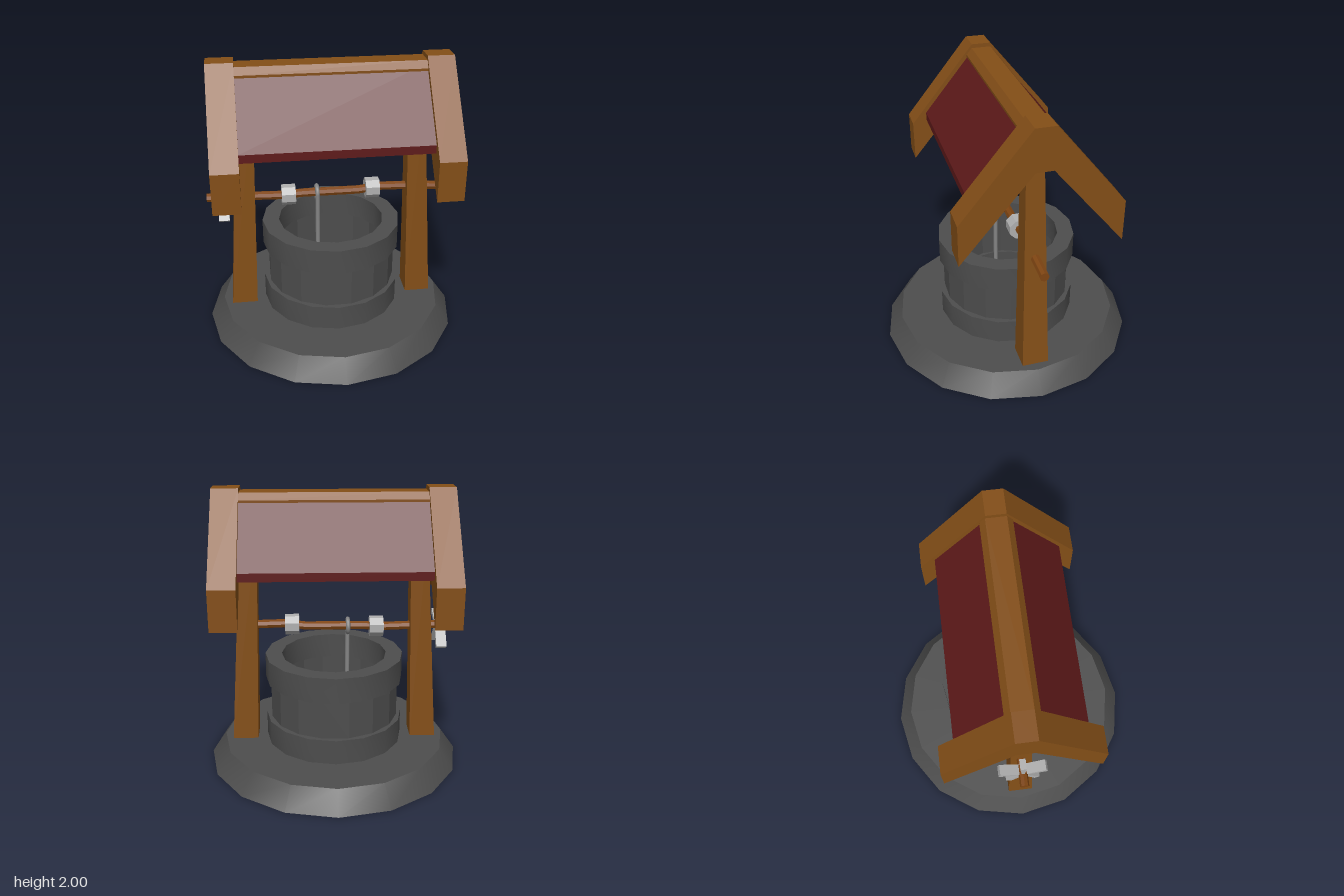
import * as THREE from 'three';
import { toCreasedNormals } from 'three/addons/utils/BufferGeometryUtils.js';

const material = (name, color) => {
  const m = new THREE.MeshStandardMaterial({ color });
  m.name = name;
  return m;
};

export function createModel() {
  const group = new THREE.Group();
  const stone = material('stone', 0x4d4d4d);
  const paleStone = material('pale underside', 0x989898);
  const wood = material('wood', 0x834e17);
  const axleWood = material('axle wood', 0x7f4512);
  const red = material('roof red', 0x5e1a1a);
  const metal = material('light metal', 0xb0b0b0);
  const iron = material('hook iron', 0x858585);

  const add = (name, geometry, mat, crease = 0.5) => {
    const mesh = new THREE.Mesh(toCreasedNormals(geometry, crease), mat);
    mesh.name = name;
    group.add(mesh);
  };

  // Closed stone ring
  const ring = (name, inner, outer, y0, y1, turn = 0, crease = 0.5) => {
    const profile = [[inner, y0], [outer, y0], [outer, y1], [inner, y1], [inner, y0]];
    const g = new THREE.LatheGeometry(profile.map(p => new THREE.Vector2(...p)), 16);
    g.rotateY(turn);
    add(name, g, stone, crease);
  };

  // Outline given as [z, y] pairs, extruded along x from x0 to x1
  const prism = (points, x0, x1) => {
    const shape = new THREE.Shape(points.map(p => new THREE.Vector2(...p)));
    const g = new THREE.ExtrudeGeometry(shape, { depth: x1 - x0, bevelEnabled: false });
    return g.rotateY(Math.PI / 2).translate(x0, 0, 0);
  };
  // Half outline mirrored in z
  const mirrored = half => [...half, ...half.map(([z, y]) => [-z, y]).reverse()];

  // Stone base with a pale underside (side, top, bottom), and well wall
  add('base', new THREE.CylinderGeometry(0.815, 0.92, 0.15, 16).translate(0, 0.075, 0), [stone, stone, paleStone]);
  ring('lowerRing', 0.38, 0.5, 0.15, 0.33);
  ring('wall', 0.4, 0.467, 0.33, 0.612, Math.PI / 16, 0.1);
  ring('upperRing', 0.38, 0.5, 0.612, 0.795);

  // Leaning tapered posts and gable frames
  const gable = mirrored([[0.058, 1.715], [0.533, 1.145], [0.533, 1.43], [0.068, 2]]);
  for (const side of [-1, 1]) {
    const label = side > 0 ? 'left' : 'right';
    const post = new THREE.BoxGeometry(1, 1, 1);
    const p = post.attributes.position;
    for (let i = 0; i < p.count; i++) {
      const top = p.getY(i) > 0;
      const width = top ? 0.117 : 0.185;
      const centre = side * (top ? 0.587 : 0.659);
      p.setXYZ(i, centre + p.getX(i) * width, top ? 1.725 : 0.148, p.getZ(i) * width);
    }
    add(label + 'Post', post, wood);
    add(label + 'Gable', prism(gable, side > 0 ? 0.64 : -0.825, side > 0 ? 0.825 : -0.64), wood);
  }

  // Roof panels and ridge cap
  add('roof', prism(mirrored([[0.068, 1.895], [0.43, 1.452], [0.43, 1.51], [0.068, 1.952]]), -0.645, 0.645), red);
  add('ridgeCap', prism(mirrored([[0.108, 1.908], [0.108, 1.925], [0.07, 1.972]]), -0.645, 0.645), wood);

  // Crooked wooden axle
  const bends = [[-0.885, 1.003], [-0.7, 1.003], [-0.36, 0.993], [-0.2, 1.002], [0.2, 1.002],
    [0.36, 1.022], [0.62, 1.015], [0.88, 0.995]];
  const n = bends.length - 1;
  const axle = new THREE.CylinderGeometry(0.032, 0.032, 1, 8, n).rotateZ(-Math.PI / 2);
  const a = axle.attributes.position;
  for (let i = 0; i < a.count; i++) {
    const [x, y] = bends[Math.round((a.getX(i) + 0.5) * n)];
    a.setX(i, x);
    a.setY(i, a.getY(i) + y);
  }
  add('axle', axle, axleWood);

  // Octagonal metal collars
  for (const [x, y] of [[-0.305, 0.995], [0.3, 1.015]]) {
    const collar = new THREE.CylinderGeometry(0.074, 0.074, 0.1, 8);
    collar.rotateY(Math.PI / 8).rotateZ(Math.PI / 2);
    add('collar', collar.translate(x, y, 0), metal);
  }

  // Five-spoked hand wheel
  for (let i = 0; i < 5; i++) {
    const spoke = prism([[-0.01, 0.02], [0.01, 0.02], [0.022, 0.172], [-0.022, 0.172]], -0.037, 0.037);
    spoke.rotateX(i * Math.PI * 2 / 5);
    add('wheelSpoke', spoke.translate(-0.768, 1, 0), metal);
  }

  // Ring and hanging rod
  add('hookRing', new THREE.TorusGeometry(0.049, 0.016, 8, 16).rotateY(Math.PI / 2).translate(-0.1, 1, 0), iron, 1);
  add('hookRod', new THREE.CylinderGeometry(0.016, 0.016, 0.65, 8).translate(-0.1, 0.675, 0.049), iron, 1);

  return group;
}
